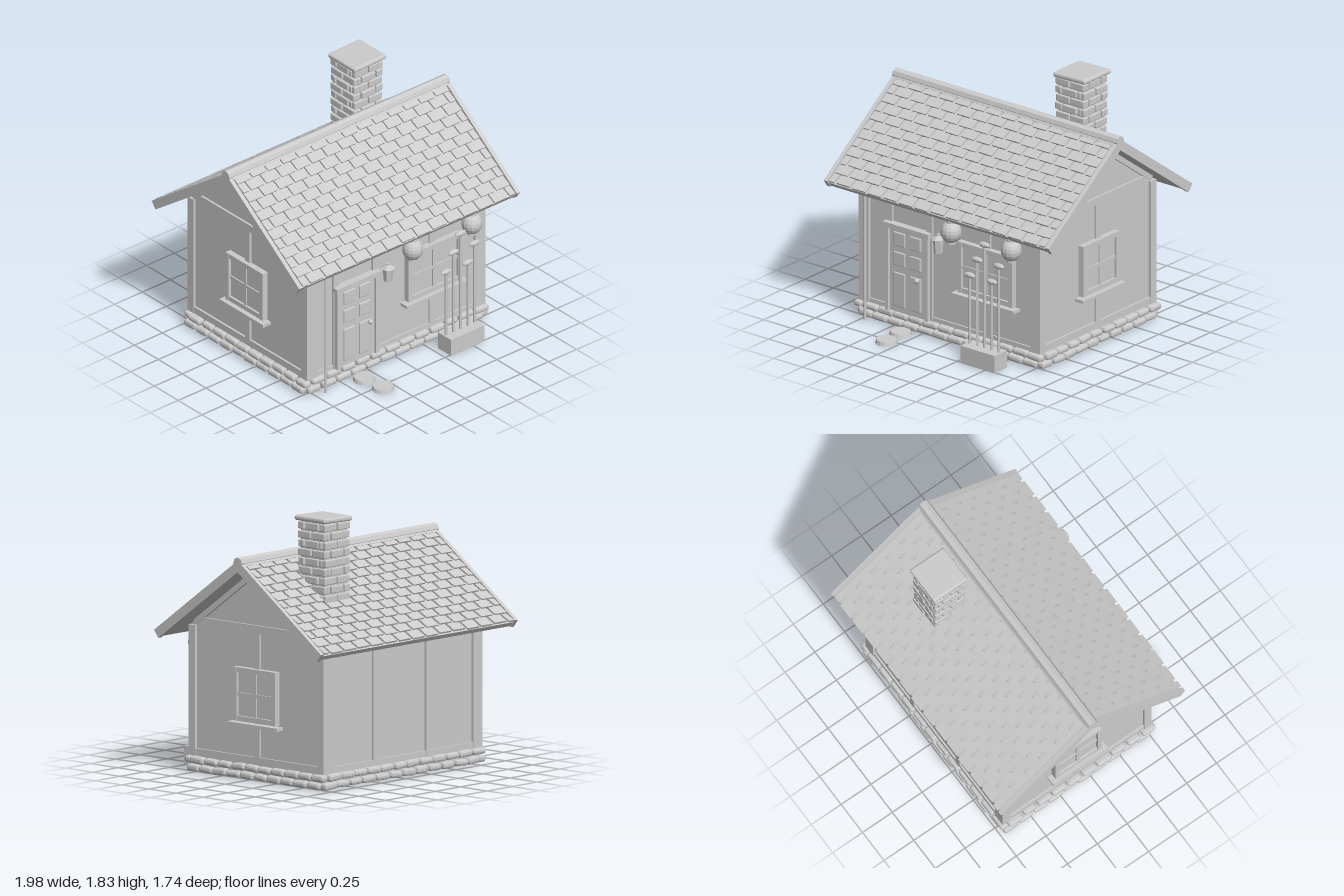
import * as THREE from 'three';
import { mergeGeometries } from 'three/addons/utils/BufferGeometryUtils.js';
import { RoundedBoxGeometry } from 'three/addons/geometries/RoundedBoxGeometry.js';

const grey = new THREE.MeshStandardMaterial({ color: 0xcccccc, flatShading: true });

let seed = 7;
const jitter = (a) => { seed = (seed * 16807) % 2147483647; return (seed / 2147483647 - 0.5) * 2 * a; };

function add(parent, name, geo, x = 0, y = 0, z = 0) {
  const m = new THREE.Mesh(geo, grey);
  m.name = name;
  m.position.set(x, y, z);
  parent.add(m);
  return m;
}
// box given by its extents
function block(parent, name, [x0, x1], [y0, y1], [z0, z1]) {
  return add(parent, name, new THREE.BoxGeometry(x1 - x0, y1 - y0, z1 - z0),
    (x0 + x1) / 2, (y0 + y1) / 2, (z0 + z1) / 2);
}
function group(parent, name, x = 0, y = 0, z = 0, ry = 0) {
  const g = new THREE.Group();
  g.name = name;
  g.position.set(x, y, z);
  g.rotation.y = ry;
  parent.add(g);
  return g;
}

const RIDGE_Z = -0.1, RIDGE_Y = 1.55, SLOPE = Math.atan(0.73), LEN = 0.955;
const X = 0.8, ZF = 0.53, ZB = -0.72;

// rubble stones in two staggered rows round the base
function foundation(house) {
  block(house, 'foundation', [-0.785, 0.785], [0.01, 0.125], [ZB + 0.02, ZF - 0.02]);
  const stones = [];
  const course = (len, place) => {
    for (let row = 0; row < 2; row++) {
      const n = Math.round(len / 0.13), step = len / n;
      for (let i = 0; i < n; i++) {
        const g = new RoundedBoxGeometry(step * 0.9 + jitter(0.01), 0.046 + jitter(0.004), 0.06, 1, 0.016);
        g.rotateZ(jitter(0.06));
        g.translate(-len / 2 + (i + 0.5 + (row ? 0.25 : -0.1)) * step, 0.037 + row * 0.056, jitter(0.006));
        stones.push(place(g));
      }
    }
  };
  const zc = (ZF + ZB) / 2;
  course(1.58, (g) => g.translate(0, 0, ZF - 0.01));
  course(1.58, (g) => g.rotateY(Math.PI).translate(0, 0, ZB + 0.01));
  course(1.24, (g) => g.rotateY(Math.PI / 2).translate(X, 0, zc));
  course(1.24, (g) => g.rotateY(-Math.PI / 2).translate(-X, 0, zc));
  add(house, 'foundationStones', mergeGeometries(stones));
}

// gabled wall volume with a timber frame laid over it
function walls(house) {
  const s = new THREE.Shape([[0.51, 0.12], [0.51, 1.035], [RIDGE_Z, 1.48], [-0.7, 1.042], [-0.7, 0.12]]
    .map(([a, b]) => new THREE.Vector2(a, b)));
  const g = new THREE.ExtrudeGeometry(s, { depth: 1.56, bevelEnabled: false });
  add(house, 'walls', g.rotateY(-Math.PI / 2).translate(0.78, 0, 0));
  const f = group(house, 'timberFrame');
  for (const side of [-1, 1]) {
    const px = side < 0 ? [-X, -0.71] : [0.71, X];
    const sx = side < 0 ? [-0.795, -0.77] : [0.77, 0.795];
    block(f, 'cornerPost', px, [0.12, 1.02], [0.47, ZF]);
    block(f, 'cornerPost', px, [0.12, 1.02], [ZB, -0.66]);
    block(f, 'sideSillBeam', sx, [0.12, 0.17], [-0.7, 0.51]);
    block(f, 'sideTopBeam', sx, [1.025, 1.08], [-0.66, 0.47]);
    block(f, 'sidePost', sx, [0.17, 1.08], [-0.125, -0.075]);
    block(f, 'backPost', side < 0 ? [-0.29, -0.24] : [0.24, 0.29], [0.12, 1.02], [ZB + 0.005, -0.69]);
  }
  block(f, 'backSillBeam', [-X, X], [0.12, 0.16], [ZB + 0.007, -0.69]);
  block(f, 'backTopBeam', [-X, X], [0.97, 1.02], [ZB + 0.007, -0.69]);
  block(f, 'frontSillBeam', [-X, X], [0.12, 0.15], [0.5, 0.522]);
  block(f, 'frontTopBeam', [-X, X], [0.96, 1.02], [0.5, 0.524]);
  for (const x of [-0.535, -0.18]) block(f, 'doorPost', [x - 0.025, x + 0.025], [0.12, 0.98], [0.5, 0.526]);
  block(f, 'frontPost', [0.305, 0.355], [0.13, 0.98], [0.5, 0.524]);
}

// window with frame, glazing bars and sill, facing local +z
function windowUnit(house, w, h, x, y, z, ry) {
  const g = group(house, 'window', x, y, z, ry), t = 0.035;
  block(g, 'pane', [-w / 2, w / 2], [0, h], [-0.02, 0.006]);
  for (const s of [-1, 1]) {
    add(g, 'jamb', new THREE.BoxGeometry(t, h, 0.04), s * (w - t) / 2, h / 2, 0.005);
    add(g, 'rail', new THREE.BoxGeometry(w, t, 0.036), 0, h / 2 + s * (h - t) / 2, 0.005);
  }
  block(g, 'glazingBar', [-0.012, 0.012], [0, h], [0, 0.016]);
  block(g, 'glazingBar', [-w / 2, w / 2], [h / 2 - 0.012, h / 2 + 0.012], [0, 0.015]);
  block(g, 'sill', [-w / 2 - 0.035, w / 2 + 0.035], [-0.03, -0.008], [-0.02, 0.05]);
}

function door(house) {
  const g = group(house, 'door', -0.36, 0.12, ZF);
  block(g, 'leaf', [-0.16, 0.16], [0, 0.61], [-0.03, 0.008]);
  for (const s of [-1, 1]) {
    add(g, 'doorJamb', new THREE.BoxGeometry(0.03, 0.63, 0.05), s * 0.173, 0.315, 0);
    for (const [y, h] of [[0.165, 0.25], [0.39, 0.1], [0.535, 0.1]])
      add(g, 'doorPanel', new RoundedBoxGeometry(0.1, h, 0.02, 1, 0.006), s * 0.07, y, 0.008);
  }
  block(g, 'lintel', [-0.2, 0.2], [0.61, 0.645], [-0.03, 0.035]);
  add(g, 'knob', new THREE.SphereGeometry(0.019, 10, 8), 0.1, 0.28, 0.035);
}

// one roof pitch: deck, barge boards and overlapping shingles
function pitch(house, name, ry) {
  const g = group(group(house, name, 0, RIDGE_Y, RIDGE_Z, ry), 'slope');
  g.rotation.x = SLOPE;
  block(g, 'deck', [-0.965, 0.965], [-0.055, -0.02], [-0.02, LEN - 0.005]);
  for (const s of [-1, 1]) {
    add(g, 'bargeBoard', new THREE.BoxGeometry(0.03, 0.065, LEN + 0.01), s * 0.975, -0.03, LEN / 2 - 0.005);
    add(g, 'gableRafter', new THREE.BoxGeometry(0.04, 0.045, 0.77), s * 0.78, -0.07, 0.375);
  }
  const tiles = [], step = 0.0775, pw = 0.1371;
  for (let r = 0; r < 12; r++) {
    const off = r % 2 ? pw / 2 : 0;
    for (let i = 0; i <= 14; i++) {
      const a = Math.max(-0.96, -0.96 + i * pw - off), b = Math.min(0.96, -0.96 + (i + 1) * pw - off);
      if (b - a < 0.03) continue;
      const t = new THREE.BoxGeometry(b - a - 0.022, 0.014, step + 0.016);
      t.rotateX(-0.14 + jitter(0.02)).rotateY(jitter(0.015));
      tiles.push(t.translate((a + b) / 2, -0.008, 0.052 + r * step + jitter(0.004)));
    }
  }
  add(g, 'shingles', mergeGeometries(tiles));
}

function chimney(house) {
  const g = group(house, 'chimney', 0.42, 0, -0.375);
  block(g, 'chimneyCore', [-0.11, 0.11], [1.18, 1.8], [-0.11, 0.11]);
  const bricks = [], H = 0.0615;
  for (let r = 0; r < 10; r++) {
    for (let k = 0; k < 4; k++) {
      const cuts = (r + k) % 2 ? [-0.13, 0, 0.13] : [-0.105, -0.065, 0.065, 0.105];
      for (let i = 0; i + 1 < cuts.length; i++) {
        const b = new RoundedBoxGeometry(cuts[i + 1] - cuts[i] - 0.012, 0.05, 0.045, 1, 0.006);
        b.translate((cuts[i] + cuts[i + 1]) / 2, 1.21 + r * H, 0.107 + jitter(0.005));
        bricks.push(b.rotateY(k * Math.PI / 2));
      }
    }
  }
  add(g, 'chimneyBricks', mergeGeometries(bricks));
  add(g, 'chimneyCap', new RoundedBoxGeometry(0.285, 0.036, 0.285, 2, 0.014), 0.005, 1.812, 0).rotation.z = 0.03;
}

// round hanging lantern with end caps
function lantern(house, x) {
  const g = group(house, 'lantern', x, 0.865, 0.61);
  add(g, 'lanternGlobe', new THREE.SphereGeometry(0.073, 14, 10)).scale.y = 1.08;
  for (const s of [-1, 1]) add(g, 'lanternCap', new THREE.CylinderGeometry(0.034, 0.034, 0.018, 12), 0, s * 0.076, 0);
  add(g, 'lanternHook', new THREE.CylinderGeometry(0.006, 0.006, 0.06, 6), 0, 0.1, 0);
}

function planter(house) {
  const g = group(house, 'planter', 0.44, 0, 0.69);
  block(g, 'planterBox', [-0.15, 0.15], [0.005, 0.13], [-0.06, 0.075]);
  for (const [x, h] of [[-0.13, 0.63], [-0.065, 0.76], [0, 0.885], [0.065, 0.63], [0.125, 0.76]]) {
    add(g, 'flowerStem', new THREE.CylinderGeometry(0.009, 0.009, h - 0.12, 6), x, (h + 0.12) / 2, 0);
    add(g, 'flowerHead', new THREE.SphereGeometry(0.05, 8, 6), x, h, 0).scale.set(1, 0.4, 0.42);
  }
}

export function createModel() {
  const house = new THREE.Group();
  house.name = 'cottage';
  foundation(house);
  walls(house);
  door(house);
  windowUnit(house, 0.48, 0.37, 0.33, 0.41, ZF, 0);
  windowUnit(house, 0.39, 0.37, X, 0.41, -0.1, Math.PI / 2);
  windowUnit(house, 0.39, 0.37, -X, 0.41, -0.1, -Math.PI / 2);

  pitch(house, 'frontRoof', 0);
  pitch(house, 'backRoof', Math.PI);
  const ridge = add(house, 'ridgeCap', new THREE.CylinderGeometry(0.04, 0.04, 1.98, 8), 0, 1.535, RIDGE_Z);
  ridge.rotation.z = Math.PI / 2;
  chimney(house);

  lantern(house, 0.08);
  lantern(house, 0.61);
  planter(house);

  // rain pipe below the eave
  add(house, 'rainPipe', new THREE.CylinderGeometry(0.011, 0.011, 0.93, 8), -0.69, 0.485, 0.595);
  // wall lamp beside the door
  const lamp = group(house, 'wallLamp', -0.085, 0.65, 0.545);
  add(lamp, 'lampBody', new THREE.CylinderGeometry(0.038, 0.03, 0.1, 6), 0, 0.05, 0);
  add(lamp, 'lampRoof', new THREE.CylinderGeometry(0.012, 0.05, 0.025, 6), 0, 0.113, 0);
  add(lamp, 'lampFinial', new THREE.SphereGeometry(0.012, 6, 5), 0, 0.13, 0);
  // stepping stones
  for (const [x, z] of [[-0.34, 0.79], [-0.36, 0.615]])
    add(house, 'steppingStone', new THREE.CylinderGeometry(0.07, 0.078, 0.028, 14), x, 0.014, z);
  return house;
}
